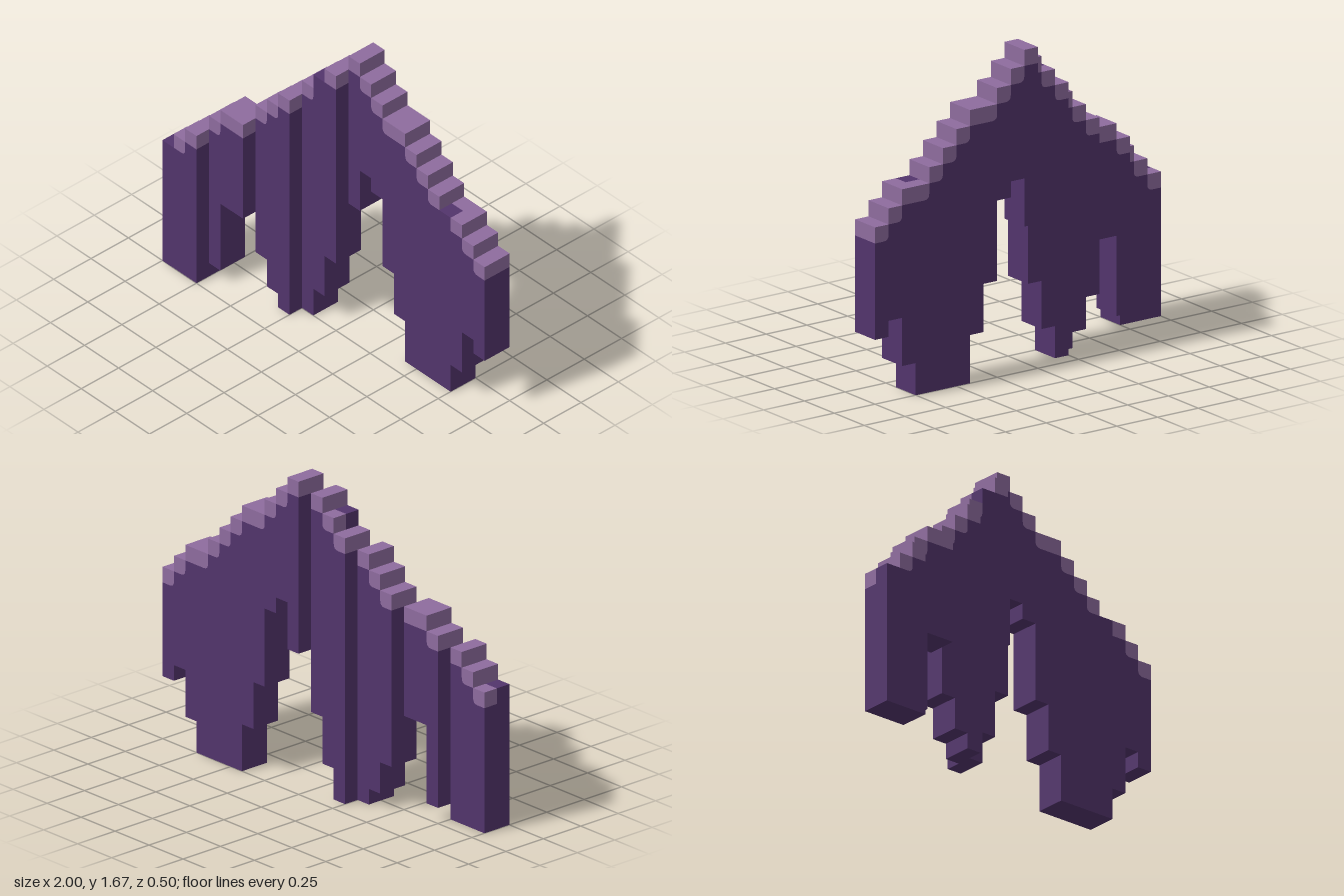
import * as THREE from 'three';

const U = 1 / 12;   // block size
const R = 0.03;     // fillet where a cap meets the next step
const X = (i) => -1 + i * U;

// top and underside of each of the 24 columns, in blocks
const TOP = [9, 10, 11, 12, 13, 13, 14, 15, 16, 17, 18, 19, 20, 19, 18, 17, 17, 16, 15, 14, 13, 13, 12, 11];
const BOTTOM = [0, 0, 0, 1, 6, 6, 3, 1, 0, 0, 2, 5, 9, 12, 11, 6, 3, 0, 0, 0, 0, 2, 5, 4];
// wall sections: [first column, end column, back z in blocks]; each is two blocks deep
const SECTIONS = [[0, 3, 1], [3, 6, 0], [6, 9, -1], [9, 12, -2], [12, 24, -3]];
// columns whose front top block is bare rock
const BARE = [0, 10, 20];

export function createModel() {
  const model = new THREE.Group();
  const rock = new THREE.MeshStandardMaterial({ color: 0x52346c });
  rock.name = 'dark purple rock';
  const crust = new THREE.MeshStandardMaterial({ color: 0x8e6c9e });
  crust.name = 'pale purple crust';

  const slab = (name, shape, z, depth, material) => {
    const geometry = new THREE.ExtrudeGeometry(shape, { depth, bevelEnabled: false, curveSegments: 4 });
    const mesh = new THREE.Mesh(geometry, material);
    mesh.name = name;
    mesh.position.z = z;
    model.add(mesh);
  };

  SECTIONS.forEach(([first, end, back], s) => {
    // rock wall: stepped underside, then stepped top with filleted inner corners
    const wall = new THREE.Shape();
    wall.moveTo(X(first), BOTTOM[first] * U);
    for (let i = first; i < end; i++) {
      if (i > first && BOTTOM[i] !== BOTTOM[i - 1]) wall.lineTo(X(i), BOTTOM[i] * U);
      if (i === end - 1 || BOTTOM[i + 1] !== BOTTOM[i]) wall.lineTo(X(i + 1), BOTTOM[i] * U);
    }
    wall.lineTo(X(end), (TOP[end - 1] - 1) * U);
    for (let i = end - 1; i > first; i--) {
      const x = X(i), y = (TOP[i] - 1) * U, next = (TOP[i - 1] - 1) * U;
      if (next > y) {
        wall.lineTo(x + R, y);
        wall.quadraticCurveTo(x, y, x, y + R);
        wall.lineTo(x, next);
      } else if (next < y) {
        wall.lineTo(x, y);
        wall.lineTo(x, next + R);
        wall.quadraticCurveTo(x, next, x - R, next);
      }
    }
    wall.lineTo(X(first), (TOP[first] - 1) * U);
    slab(`rockWall${s + 1}`, wall, back * U, 2 * U, rock);

    // crust caps, with the lower corner rounded beside a taller column
    for (let i = first; i < end; i++) {
      const x0 = X(i), x1 = X(i + 1), y1 = TOP[i] * U, y0 = y1 - U;
      const left = i > first && TOP[i - 1] > TOP[i] ? R : 0;
      const right = i < end - 1 && TOP[i + 1] > TOP[i] ? R : 0;
      const cap = new THREE.Shape();
      cap.moveTo(x0 + left, y0);
      cap.lineTo(x1 - right, y0);
      if (right) cap.quadraticCurveTo(x1, y0, x1, y0 + R);
      cap.lineTo(x1, y1);
      cap.lineTo(x0, y1);
      if (left) {
        cap.lineTo(x0, y0 + R);
        cap.quadraticCurveTo(x0, y0, x0 + R, y0);
      }
      const bare = BARE.includes(i);
      slab(`crustCap${i + 1}`, cap, back * U, (bare ? 1 : 2) * U, crust);

      // bare rock block in front of a half-depth cap
      if (bare) {
        const block = new THREE.Mesh(new THREE.BoxGeometry(U, U, U), rock);
        block.name = `bareBlock${i + 1}`;
        block.position.set(x0 + U / 2, y0 + U / 2, (back + 1.5) * U);
        model.add(block);
      }
    }
  });
  return model;
}
